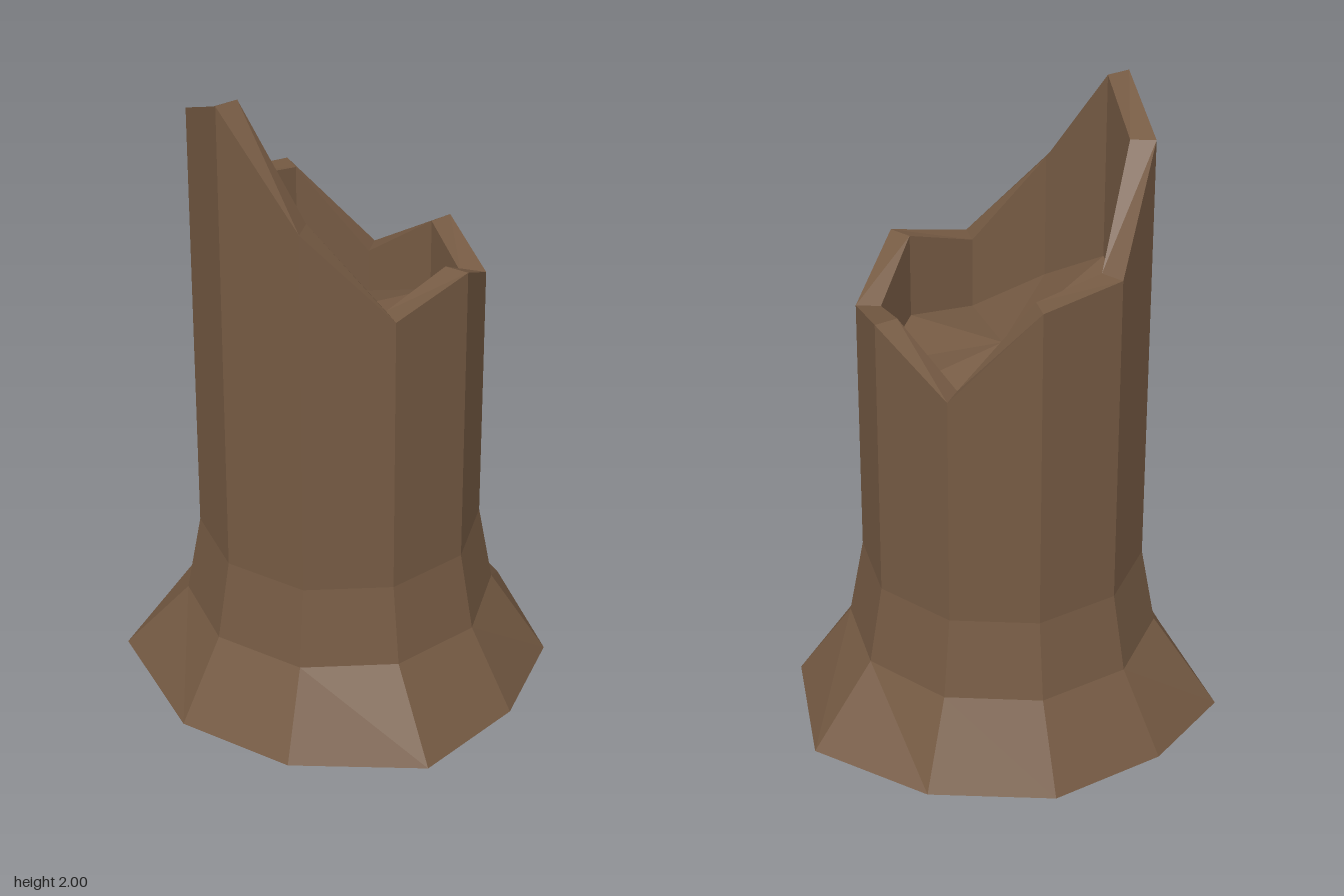
import * as THREE from 'three';

const SIDES = 10;
const CX = -0.03, CZ = -0.025;

// Uneven foot outline as [x, z], running from the left side round by the front
const FOOT = [
  [0.655, -0.025], [0.475, 0.39], [0.16, 0.57], [-0.22, 0.62], [-0.535, 0.34],
  [-0.655, -0.025], [-0.535, -0.49], [-0.22, -0.62], [0.16, -0.62], [0.475, -0.395],
];
// Height of the broken rim at each corner, in the same order
const RIM = [1.41, 1.34, 1.47, 1.4, 1.68, 2.0, 1.89, 1.57, 1.54, 1.25];

// One ten-sided ring; heightAt gives the height of each corner
function ring(radius, heightAt) {
  return RIM.map((_, k) => {
    const a = (k / SIDES) * Math.PI * 2;
    return [CX + radius * Math.cos(a), heightAt(k), CZ + radius * Math.sin(a)];
  });
}

// Faceted skin joining each ring to the next
function skin(rings) {
  const positions = [];
  for (let r = 0; r < rings.length - 1; r++) {
    const a = rings[r], b = rings[r + 1];
    for (let k = 0; k < SIDES; k++) {
      const n = (k + 1) % SIDES;
      positions.push(...a[k], ...b[k], ...b[n], ...a[k], ...b[n], ...a[n]);
    }
  }
  return toGeometry(positions);
}

// Faceted fan from a ring to its centre point
function fan(edge, centre) {
  const positions = [];
  edge.forEach((p, k) => positions.push(...p, ...centre, ...edge[(k + 1) % SIDES]));
  return toGeometry(positions);
}

function toGeometry(positions) {
  const geometry = new THREE.BufferGeometry();
  geometry.setAttribute('position', new THREE.Float32BufferAttribute(positions, 3));
  geometry.computeVertexNormals();
  return geometry;
}

export function createModel() {
  const group = new THREE.Group();
  group.name = 'hollowStump';

  const bark = new THREE.MeshStandardMaterial({
    name: 'bark brown', color: 0x755a43, flatShading: true, side: THREE.DoubleSide,
  });
  const add = (name, geometry) => {
    const mesh = new THREE.Mesh(geometry, bark);
    mesh.name = name;
    group.add(mesh);
  };

  const foot = FOOT.map(([x, z]) => [x, 0, z]);
  const ankle = ring(0.48, () => 0.26);
  const collar = ring(0.435, () => 0.51);
  const outerRim = ring(0.435, (k) => RIM[k]);
  const innerRim = ring(0.36, (k) => RIM[k]);
  // The hollow's floor follows the broken rim, but more gently
  const floorEdge = ring(0.36, (k) => 0.6 + 0.41 * RIM[k]);

  add('rootFlare', skin([foot, ankle, collar]));
  add('trunk', skin([collar, outerRim]));
  add('brokenRim', skin([outerRim, innerRim]));
  add('innerWall', skin([innerRim, floorEdge]));
  add('hollowFloor', fan(floorEdge, [CX, 1.23, CZ]));

  return group;
}
